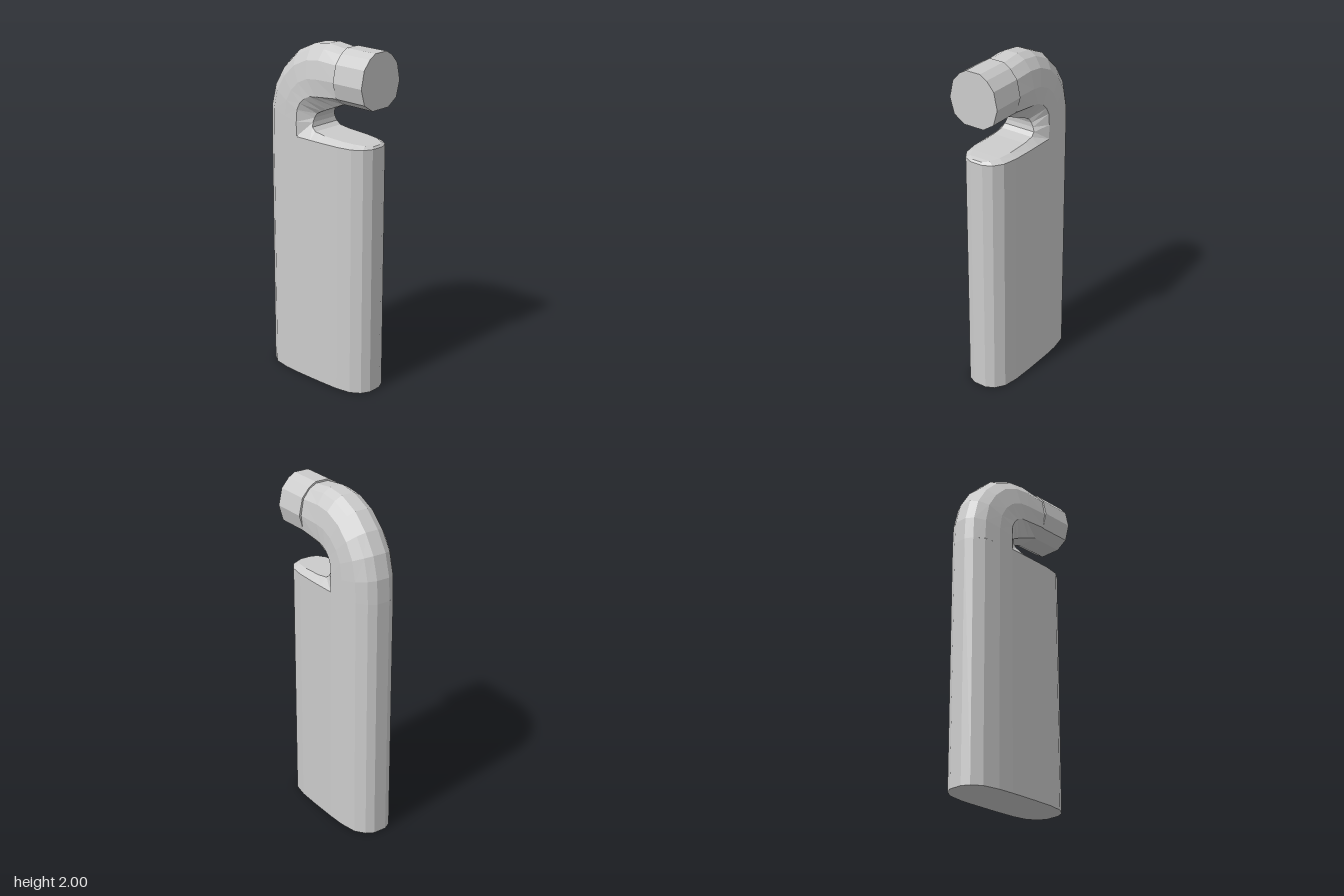
import * as THREE from 'three';

const material = new THREE.MeshStandardMaterial({ color: 0xcccccc, flatShading: true, side: THREE.DoubleSide });

function addMesh(group, name, geometry) {
  const mesh = new THREE.Mesh(geometry, material);
  mesh.name = name;
  group.add(mesh);
}

// Skin a list of rows (each a list of [x, y, z] points) with quads
function loft(rows, closed) {
  const n = rows[0].length;
  const index = [];
  for (let r = 0; r < rows.length - 1; r++) {
    for (let i = 0; i < (closed ? n : n - 1); i++) {
      const j = (i + 1) % n;
      const a = r * n + i, b = r * n + j, c = a + n, d = b + n;
      index.push(a, b, d, a, d, c);
    }
  }
  const indexed = new THREE.BufferGeometry();
  indexed.setAttribute('position', new THREE.Float32BufferAttribute(rows.flat(2), 3));
  indexed.setIndex(index);
  const geometry = indexed.toNonIndexed();
  geometry.computeVertexNormals();
  return geometry;
}

// Complete a half outline (x >= 0) with its mirror image
const mirrored = (half) => [...half, ...half.slice().reverse().map(([x, y]) => [-x, y])];

function extrude(half, depth) {
  const shape = new THREE.Shape(mirrored(half).map(([x, y]) => new THREE.Vector2(x, y)));
  return new THREE.ExtrudeGeometry(shape, { depth, bevelEnabled: false });
}

export function createModel() {
  const group = new THREE.Group();
  const rimY = 1.465;

  // Flat upright body with rounded front and back edges
  const body = extrude([
    [0.04, -0.37], [0.09, -0.345], [0.127, -0.29], [0.143, -0.2], [0.147, -0.07],
    [0.147, 0.105], [0.143, 0.203], [0.125, 0.304], [0.085, 0.36], [0.04, 0.385],
  ], rimY);
  body.rotateX(-Math.PI / 2);
  addMesh(group, 'body', body);

  // Shallow bevelled top: rim z, rim x, inner z, inner y, inner x
  const cap = [
    [0.37, 0.04, 0.37, 1.465, 0.03],
    [0.37, 0.04, 0.36, 1.476, 0.03],
    [0.345, 0.09, 0.335, 1.482, 0.065],
    [0.29, 0.127, 0.28, 1.486, 0.09],
    [0.2, 0.143, 0.2, 1.489, 0.102],
    [0.07, 0.147, 0.07, 1.495, 0.104],
    [0, 0.147, 0, 1.505, 0.102],
    [-0.105, 0.147, -0.025, 1.525, 0.1],
  ].map(([sz, sx, cz, cy, cx]) => [[-sx, rimY, sz], [-cx, cy, cz], [cx, cy, cz], [sx, rimY, sz]]);
  addMesh(group, 'bodyTop', loft(cap, false));

  // Hooked neck: inner strip (z, y, half width), side edge (z, y), outer back (z, y)
  const stations = [
    [-0.025, 1.525, 0.1, -0.105, 1.465, -0.385, 1.465],
    [-0.03, 1.55, 0.09, -0.105, 1.55, -0.38, 1.6],
    [-0.028, 1.575, 0.08, -0.1, 1.62, -0.345, 1.73],
    [-0.015, 1.6, 0.073, -0.08, 1.66, -0.275, 1.84],
    [0.02, 1.618, 0.07, -0.05, 1.69, -0.18, 1.93],
    [0.06, 1.635, 0.07, -0.01, 1.71, -0.06, 1.985],
    [0.12, 1.66, 0.068, 0.03, 1.715, 0.05, 2],
    [0.18, 1.685, 0.065, 0.18, 1.73, 0.18, 1.985],
  ];
  // Rounding from side edge to outer back: fraction, half width
  const rounding = [[0.35, 0.143], [0.71, 0.126], [0.91, 0.085], [1, 0.04]];
  const neck = stations.map(([cz, cy, cx, sz, sy, oz, oy], k) => {
    const sideX = 0.147 - 0.015 * (k / 7) ** 2;
    const half = [[cx, cy, cz], [sideX, sy, sz]];
    for (const [u, x] of rounding) half.push([x, sy + (oy - sy) * u, sz + (oz - sz) * u]);
    return [...half, ...half.slice().reverse().map(([x, y, z]) => [-x, y, z])];
  });
  addMesh(group, 'neck', loft(neck, true));

  // Straight faceted collar at the end of the neck
  const collar = extrude([
    [0.063, 1.685], [0.129, 1.728], [0.155, 1.82], [0.133, 1.918], [0.088, 1.97], [0.045, 1.995], [0, 2],
  ].slice(0, 6), 0.205);
  collar.translate(0, 0, 0.18);
  addMesh(group, 'collar', collar);

  return group;
}
